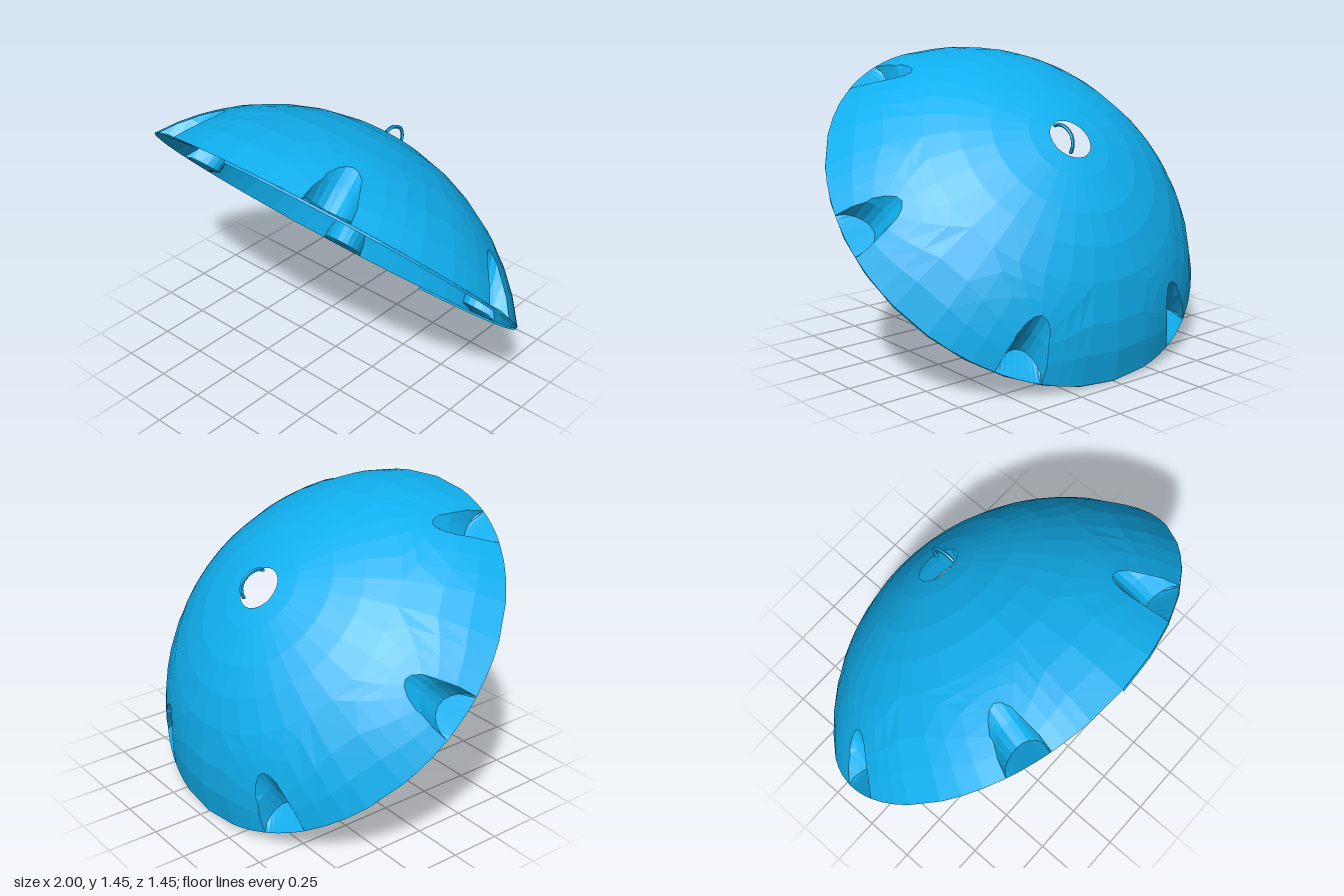
import * as THREE from 'three';

const SEG = 32;                                  // sides around the dome
const STEP = (Math.PI * 2) / SEG;
const H = 0.545;                                 // cap height over a rim of radius 1
const R = (1 + H * H) / (2 * H);
const cap = r => Math.max(0, Math.sqrt(R * R - r * r) - (R - H));
const onCap = (a, r) => [a, r, cap(r)];

// Surface through rows of [angle, radius, height] points
function grid(rows) {
  const pos = [], idx = [], n = rows[0].length;
  for (const row of rows)
    for (const [a, r, h] of row) pos.push(r * Math.cos(a), h, r * Math.sin(a));
  for (let j = 0; j < rows.length - 1; j++)
    for (let i = 0; i < n - 1; i++) {
      const a = j * n + i, b = a + n;
      idx.push(a, a + 1, b, a + 1, b + 1, b);
    }
  const g = new THREE.BufferGeometry();
  g.setAttribute('position', new THREE.Float32BufferAttribute(pos, 3));
  g.setIndex(idx);
  g.computeVertexNormals();
  return g;
}

const arc = (from, to, r) =>
  Array.from({ length: to - from + 1 }, (_, i) => onCap((from + i) * STEP, r));

// Rim patch around one screw recess: dome skin, scooped wall, flat floor
function recessPatch(angle, first, last, rings) {
  const side = k => rings.slice(1).map(r => onCap(k * STEP, r));
  const outer = [...side(first).reverse(), ...arc(first, last, rings[0]), ...side(last)];
  const n = outer.length;
  const scoop = (halfWidth, depth, maxH) => outer.map((_, i) => {
    const p = (i / (n - 1) - 0.5) * Math.PI;
    const r = 1 - depth * Math.cos(p);
    return [angle + halfWidth * Math.sin(p), r, Math.min(cap(r), maxH)];
  });
  const edge = scoop(0.12, 0.2, 1);
  const skin = [0, 1 / 3, 2 / 3].map(t => outer.map((o, i) =>
    onCap(o[0] + (edge[i][0] - o[0]) * t, o[1] + (edge[i][1] - o[1]) * t)));
  const foot = scoop(0.115, 0.148, 0.015);
  const lip = foot.map(p => [p[0], 1, 0]);
  return grid([...skin, edge, scoop(0.117, 0.17, 0.13), foot, lip]);
}

export function createModel() {
  const model = new THREE.Group();
  model.name = 'tiltedDome';
  const mat = new THREE.MeshStandardMaterial({
    color: 0x10b0f0, flatShading: true, side: THREE.DoubleSide });
  const dome = new THREE.Group();
  dome.name = 'dome';
  const add = (name, geo) => {
    const m = new THREE.Mesh(geo, mat);
    m.name = name;
    dome.add(m);
    return m;
  };

  // Crown with the round opening in its centre
  add('crown', grid([0.107, 0.21, 0.38, 0.52, 0.66].map(r => arc(0, SEG, r))));

  // Six recesses around the rim, with plain skin between them
  const rings = [0.66, 0.81, 0.91, 1];
  const centres = [0, 1, 2, 3, 4, 5].map(i => Math.round((i * SEG) / 6));
  centres.forEach((c, i) => {
    add('screwRecess', recessPatch((i * Math.PI) / 3, c - 2, c + 2, rings));
    const next = i < 5 ? centres[i + 1] : SEG;
    add('rimPanel', grid(rings.map(r => arc(c + 2, next - 2, r))));
  });

  // Thin lip under one half of the rim
  const lip = new THREE.CylinderGeometry(1, 0.997, 0.012, SEG / 2, 1, true, 0, Math.PI);
  add('rimLip', lip).position.y = -0.006;

  // Small arched loop over the opening
  const path = new THREE.CatmullRomCurve3([[0.54, 0.085], [0.575, 0.065], [0.6, 0.02],
    [0.6, -0.025], [0.575, -0.06], [0.54, -0.075]]
    .map(([y, z]) => new THREE.Vector3(0.045, y, z)));
  add('crownLoop', new THREE.TubeGeometry(path, 12, 0.009, 5));

  dome.rotation.x = -Math.PI / 4;
  dome.position.set(0, 0.716, 0.004);
  model.add(dome);
  return model;
}
